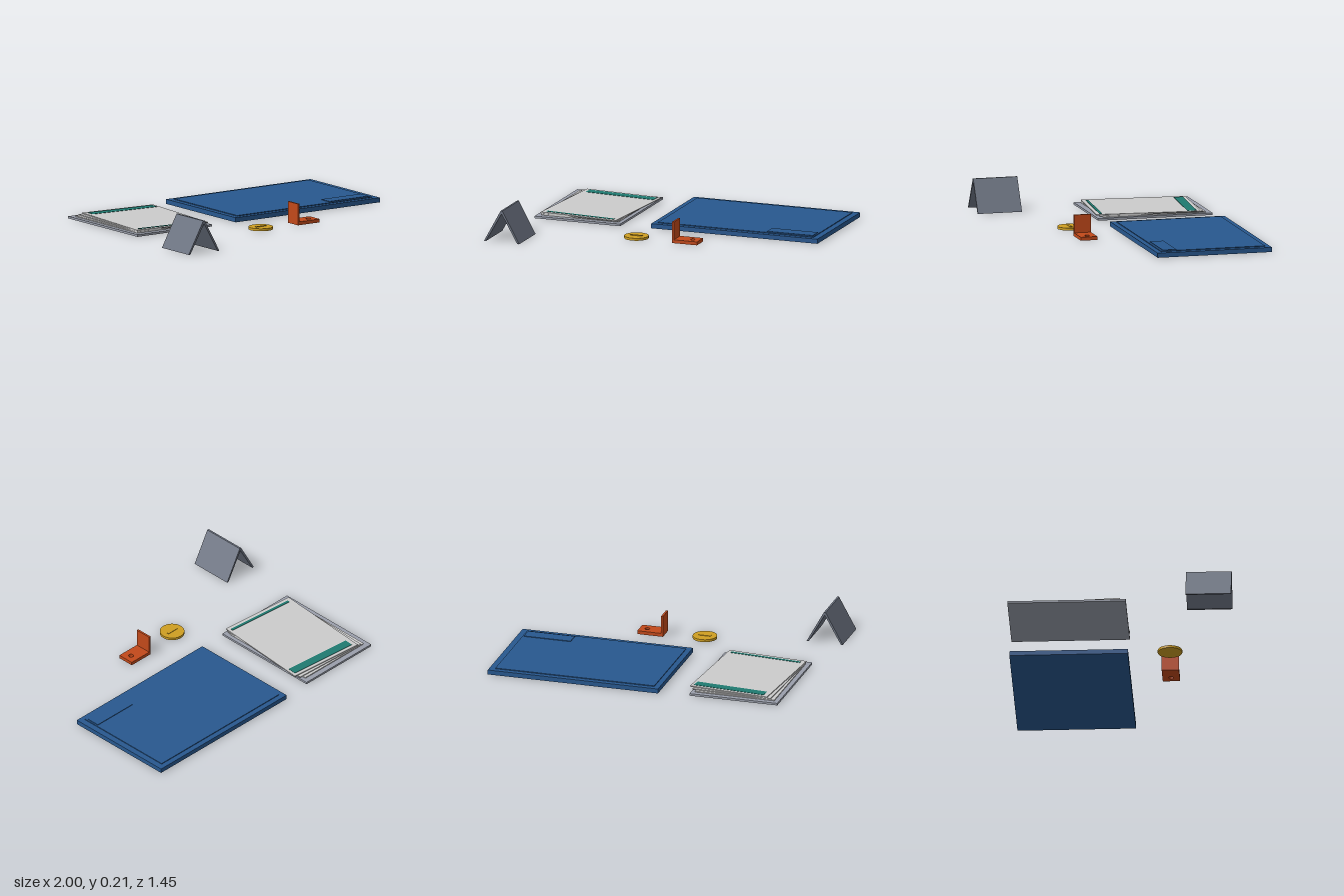
import * as THREE from 'three';

const mat = (color, side = THREE.FrontSide) => new THREE.MeshStandardMaterial({ color, side });
const blue = mat(0x28588f), grey = mat(0xcccccc), slate = mat(0x9a9fab);
const teal = mat(0x1f7a70), orange = mat(0xc2491a), gold = mat(0xcf9f22), steel = mat(0x6b7280);

function add(parent, name, geometry, material, x = 0, y = 0, z = 0) {
  const mesh = new THREE.Mesh(geometry, material);
  mesh.name = name;
  mesh.position.set(x, y, z);
  parent.add(mesh);
  return mesh;
}

// Box given by its lower and upper limits
function slab(parent, name, material, [x0, x1], [y0, y1], [z0, z1]) {
  return add(parent, name, new THREE.BoxGeometry(x1 - x0, y1 - y0, z1 - z0), material,
    (x0 + x1) / 2, (y0 + y1) / 2, (z0 + z1) / 2);
}

function group(parent, name) {
  const g = new THREE.Group();
  g.name = name;
  parent.add(g);
  return g;
}

export function createModel() {
  const model = new THREE.Group();
  model.name = 'deskSet';

  // Large blue board with a raised panel and a small tab
  const board = group(model, 'board');
  slab(board, 'boardBase', blue, [-0.13, 1], [0, 0.03], [-0.725, 0.028]);
  slab(board, 'boardPanel', blue, [-0.095, 0.96], [0.03, 0.035], [-0.69, -0.005]);
  slab(board, 'boardTab', blue, [0.64, 0.95], [0.035, 0.039], [-0.11, -0.02]);

  // Backing card with a fanned pile of sheets
  const papers = group(model, 'papers');
  slab(papers, 'backingCard', slate, [-0.915, -0.333], [0, 0.014], [-0.702, 0.05]);
  const sheets = [
    [-0.622, 0.014, -0.328, 0],
    [-0.61, 0.021, -0.317, -0.04],
    [-0.6, 0.028, -0.305, -0.083],
  ];
  let top;
  sheets.forEach(([x, y, z, turn], i) => {
    top = group(papers, 'sheet' + (i + 1));
    top.position.set(x, y, z);
    top.rotation.y = turn;
    add(top, 'page', new THREE.BoxGeometry(0.525, 0.006, 0.675), grey, 0, 0.003, 0);
  });
  // Printed bands on the top sheet
  add(top, 'headerBand', new THREE.BoxGeometry(0.475, 0.002, 0.06), teal, 0.006, 0.007, -0.285);
  add(top, 'footerBand', new THREE.BoxGeometry(0.475, 0.002, 0.018), teal, 0.004, 0.007, 0.304);

  // Folded tent card, open below
  const [halfWidth, height, thick] = [0.12, 0.207, 0.013];
  const fold = new THREE.Shape();
  fold.moveTo(-halfWidth, 0);
  fold.lineTo(-0.006, height);
  fold.lineTo(0.006, height);
  fold.lineTo(halfWidth, 0);
  fold.lineTo(halfWidth - thick, 0);
  fold.lineTo(0, height - 0.019);
  fold.lineTo(thick - halfWidth, 0);
  fold.closePath();
  add(model, 'tentCard', new THREE.ExtrudeGeometry(fold, { depth: 0.29, bevelEnabled: false }),
    steel, -0.88, 0, 0.432);

  // Coin with a raised mark
  const coin = group(model, 'coin');
  coin.position.set(-0.127, 0, 0.295);
  add(coin, 'coinDisc', new THREE.CylinderGeometry(0.078, 0.078, 0.016, 48), gold, 0, 0.008, 0);
  add(coin, 'coinMark', new THREE.BoxGeometry(0.08, 0.003, 0.016), gold, 0, 0.0175, 0);

  // Angle bracket with a drilled foot
  const bracket = group(model, 'bracket');
  slab(bracket, 'bracketUpright', orange, [0.132, 0.145], [0, 0.138], [0.23, 0.34]);
  const foot = new THREE.Shape();
  foot.moveTo(0.145, -0.34);
  foot.lineTo(0.302, -0.34);
  foot.lineTo(0.302, -0.23);
  foot.lineTo(0.145, -0.23);
  foot.closePath();
  foot.holes.push(new THREE.Path().absarc(0.252, -0.285, 0.016, 0, Math.PI * 2, true));
  const footGeometry = new THREE.ExtrudeGeometry(foot, { depth: 0.022, bevelEnabled: false, curveSegments: 16 });
  footGeometry.rotateX(-Math.PI / 2);
  add(bracket, 'bracketFoot', footGeometry, orange);

  return model;
}
